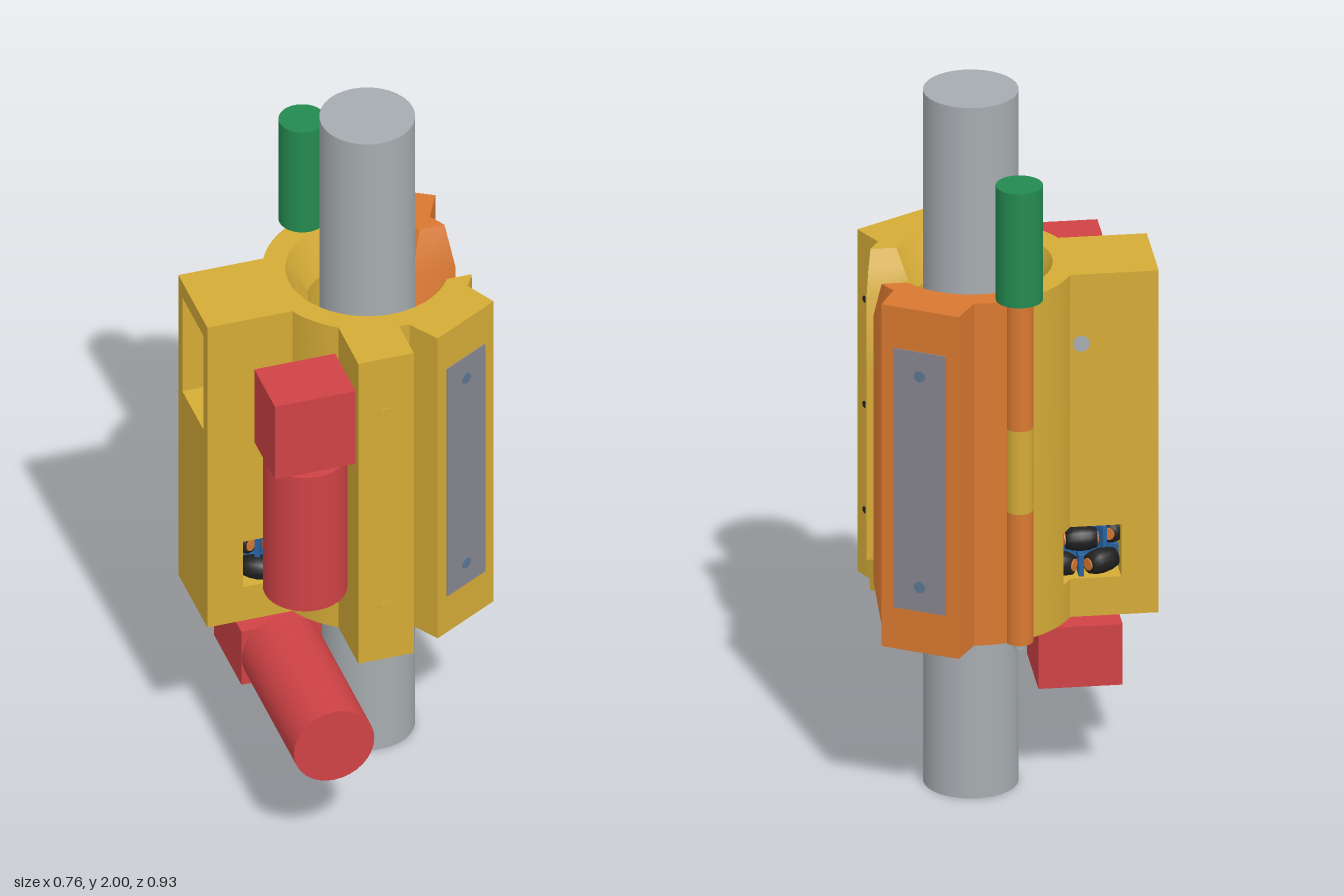
import * as THREE from 'three';
import { mergeGeometries, toCreasedNormals } from 'three/addons/utils/BufferGeometryUtils.js';

const mat = (name, color) => new THREE.MeshStandardMaterial({ name, color });
const CX = 0.106, CZ = -0.105;            // pole axis
const R = 0.278;                          // clamp outer radius
const Y0 = 0.51, Y1 = 1.5;                // clamp bottom and top
const RAD = Math.PI / 180;
const V = (x, z) => new THREE.Vector2(x, z);
const P = (r, deg) => V(CX + r * Math.cos(deg * RAD), CZ + r * Math.sin(deg * RAD));
const arc = (r, a, b, n) => Array.from({ length: n + 1 }, (_, i) => P(r, a + (b - a) * i / n));
const asin = (v) => Math.asin(v) / RAD;

// Solid between horizontal outlines, one outline per height
function loft(outline, ys) {
  const rings = ys.map(outline);
  if (THREE.ShapeUtils.area(rings[0]) < 0) rings.forEach((r) => r.reverse());
  const pos = [];
  const put = (k, i) => pos.push(rings[k][i].x, ys[k], rings[k][i].y);
  const n = rings[0].length, last = ys.length - 1;
  for (let k = 0; k < last; k++) {
    for (let i = 0; i < n; i++) {
      const j = (i + 1) % n;
      put(k, i); put(k + 1, i); put(k, j);
      put(k + 1, i); put(k + 1, j); put(k, j);
    }
  }
  for (const k of [0, last]) {
    for (const [a, b, c] of THREE.ShapeUtils.triangulateShape(rings[k], [])) {
      const ccw = THREE.ShapeUtils.area([rings[k][a], rings[k][b], rings[k][c]]) > 0;
      const keep = ccw === (k === 0);
      put(k, a); put(k, keep ? b : c); put(k, keep ? c : b);
    }
  }
  const g = new THREE.BufferGeometry();
  g.setAttribute('position', new THREE.Float32BufferAttribute(pos, 3));
  return toCreasedNormals(g, 0.4);
}

// Bore radius and gap offset widen towards both ends
function mouth(y) {
  const e = THREE.MathUtils.clamp((Math.abs(y - 1.005) - 0.385) / 0.11, 0, 1);
  const r = 0.163 + 0.054 * e, g = 0.07 + 0.045 * e;
  return { r, inner: asin(g / r), outer: asin(g / R) };
}

// Outer edge from the gap round the slanted mounting block; s = 1 front, -1 back
function jaw(y, s) {
  const corner = (t) => {
    const p = P(0.35, 60 * s);
    return V(p.x - t * Math.sin(60 * RAD), p.y + s * t * Math.cos(60 * RAD));
  };
  return [...arc(R, s * mouth(y).outer, s * 35.3, 5), corner(-0.111), corner(0.111), P(R, 84.4 * s)];
}

const frontEdge = (y) => [...jaw(y, 1), V(0.105, 0.17), V(0.105, 0.295), V(-0.05, 0.295)];
const bore = (y, a, b) => arc(mouth(y).r, a, b, 28);
const SPLIT = 255, ZB = -0.228, ZF = 0.018, XL = -0.38;

const fullOutline = (y) => [...bore(y, SPLIT, mouth(y).inner), ...frontEdge(y),
  ...arc(R, 124, 153.7, 8), V(XL, ZF), V(XL, ZB), ...arc(R, 206.3, SPLIT, 12)];
const upperFront = (y) => [...bore(y, 180 - asin(0.09 / mouth(y).r), mouth(y).inner), ...frontEdge(y),
  ...arc(R, 124, 153.7, 8), V(XL, ZF), V(XL, CZ + 0.09)];
const upperBack = (y) => [...bore(y, SPLIT, 180 + asin(0.09 / mouth(y).r)),
  V(XL, CZ - 0.09), V(XL, ZB), ...arc(R, 206.3, SPLIT, 12)];
const lowerFront = (y) => [...bore(y, 180 - asin(0.1 / mouth(y).r), mouth(y).inner), ...frontEdge(y),
  ...arc(R, 124, 144.4, 8), V(-0.12, CZ + 0.1)];
const lowerBack = (y) => [...bore(y, SPLIT, 180 + asin(0.1 / mouth(y).r)),
  V(-0.12, CZ - 0.1), ...arc(R, 215.6, SPLIT, 12)];
const lowerWall = () => [V(XL, ZB), V(-0.28, ZB), V(-0.28, ZF), V(XL, ZF)];
const gateOutline = (y) => [...bore(y, -105, -mouth(y).inner), ...jaw(y, -1), ...arc(R, -86, -105, 5)];

export function createModel() {
  const model = new THREE.Group();
  model.name = 'poleClimber';
  const steel = mat('steel', 0xa6acb0), yellow = mat('yellow', 0xd4ab36), orange = mat('orange', 0xd97830);
  const red = mat('red', 0xcf4245), green = mat('green', 0x248a50), plateGrey = mat('plateGrey', 0x868590);
  const blue = mat('blue', 0x2763a2), black = mat('black', 0x202020), screwBlue = mat('screwBlue', 0x5c7590);

  const add = (name, geo, m, x = 0, y = 0, z = 0, parent = model) => {
    const mesh = new THREE.Mesh(geo, m);
    mesh.name = name;
    mesh.position.set(x, y, z);
    parent.add(mesh);
    return mesh;
  };
  const cyl = (r, h, n = 32) => new THREE.CylinderGeometry(r, r, h, n);
  const rod = (name, r, y0, y1, m, x, z) => add(name, cyl(r, y1 - y0), m, x, (y0 + y1) / 2, z);

  rod('pole', 0.127, 0, 2, steel, CX, CZ);

  // Clamp body in layers, with slots for the two drive wheels
  add('clampBody', mergeGeometries([
    loft(fullOutline, [Y0, 0.62]),
    loft(lowerFront, [0.62, 0.77]), loft(lowerBack, [0.62, 0.77]), loft(lowerWall, [0.62, 0.77]),
    loft(fullOutline, [0.77, 1.14]),
    loft(upperFront, [1.14, 1.39, 1.45]), loft(upperBack, [1.14, 1.39, 1.45]),
    loft(fullOutline, [1.45, Y1]),
  ]), yellow);
  add('gate', loft(gateOutline, [Y0, 0.62, 1.39, Y1]), orange);

  // Hinge and its lock
  const hx = 0.01, hz = -0.365;
  rod('hingeLower', 0.037, Y0, 0.89, orange, hx, hz);
  rod('hingeMiddle', 0.037, 0.89, 1.13, yellow, hx, hz);
  rod('hingeUpper', 0.037, 1.13, Y1, orange, hx, hz);
  rod('hingePin', 0.015, 0.49, Y0 + 0.02, steel, hx, hz);
  rod('hingeActuator', 0.063, Y1, 1.83, green, hx, hz);
  rod('sensorPin', 0.008, 0.45, Y0 + 0.02, black, 0.005, 0.07);

  // Both jaws: mounting plate, screws, side holes, guide pads and pins
  for (const s of [1, -1]) {
    const block = new THREE.Group();
    block.name = s > 0 ? 'frontJawFittings' : 'backJawFittings';
    block.position.set(CX, 0, CZ);
    block.rotation.y = -s * 60 * RAD;     // local +x points out of the block
    model.add(block);
    add('mountingPlate', new THREE.BoxGeometry(0.008, 0.75, 0.15), plateGrey, 0.349, 1.005, 0, block);
    for (const y of [0.7, 1.31]) {
      add('plateScrew', cyl(0.016, 0.006, 16), screwBlue, 0.352, y, 0, block).rotation.z = Math.PI / 2;
    }
    for (const y of [0.7, 1.005, 1.31]) {
      add('sideHole', cyl(0.01, 0.004, 12), black, 0.315, y, -s * 0.111, block).rotation.x = Math.PI / 2;
    }
    for (const y of [0.69, 1.31]) {
      const pad = add('guidePad', new THREE.TorusGeometry(0.15, 0.02, 10, 20, 64 * RAD), orange, 0, y, 0, block);
      pad.rotation.set(Math.PI / 2, 0, -32 * RAD);
    }
    add('guidePin', cyl(0.011, 0.82, 12), steel, 0.166, 1.005, 0, block);
  }
  for (const y of [0.68, 1.32]) {
    add('frontBolt', cyl(0.018, 0.006, 20), yellow, 0.025, y, 0.295).rotation.x = Math.PI / 2;
  }

  // Roller wheel about y: hub, plates and two staggered rows of barrels
  const WX = -0.173;
  const barrel = new THREE.LatheGeometry([[0, -1], [0.026, -1], [0.032, -0.5], [0.034, 0], [0.032, 0.5], [0.026, 1], [0, 1]]
    .map(([r, t]) => V(r, t * 0.042)), 16);
  const makeWheel = (name, y) => {
    const wheel = new THREE.Group();
    wheel.name = name;
    wheel.position.set(WX, y, CZ);
    model.add(wheel);
    add('hub', cyl(0.07, 0.14, 24), blue, 0, 0, 0, wheel);
    [-1, 1].forEach((row) => {
      add('hubPlate', cyl(0.108, 0.018, 24), blue, 0, row * 0.037, 0, wheel);
      for (let i = 0; i < 6; i++) {
        const spoke = new THREE.Group();
        spoke.name = 'rollerUnit';
        spoke.rotation.y = (i + (row > 0 ? 0.5 : 0)) * Math.PI / 3;
        wheel.add(spoke);
        add('roller', barrel, black, 0.113, row * 0.037, 0, spoke).rotation.x = Math.PI / 2;
        add('rollerAxle', cyl(0.017, 0.092, 14), orange, 0.113, row * 0.037, 0, spoke).rotation.x = Math.PI / 2;
        const bracket = add('bracket', new THREE.BoxGeometry(0.06, 0.06, 0.014), blue, 0, row * 0.037, 0, spoke);
        bracket.position.set(0.1 * Math.cos(Math.PI / 6), row * 0.037, 0.1 * Math.sin(Math.PI / 6));
        bracket.rotation.y = -Math.PI / 6;
      }
    });
    return wheel;
  };
  makeWheel('lowerWheel', 0.695);
  makeWheel('upperWheel', 1.3).rotation.x = Math.PI / 2;

  // Drive motors with gearboxes and shafts
  add('upperGearbox', new THREE.BoxGeometry(0.225, 0.24, 0.175), red, WX, 1.3, 0.2175);
  rod('upperMotor', 0.112, 0.74, 1.18, red, WX, 0.218);
  add('upperShaft', cyl(0.023, 0.36, 20), steel, WX, 1.3, -0.05).rotation.x = Math.PI / 2;
  add('lowerGearbox', new THREE.BoxGeometry(0.225, 0.175, 0.235), red, WX, 0.3875, -0.0975);
  add('lowerMotor', cyl(0.112, 0.445), red, WX, 0.3875, 0.2425).rotation.x = Math.PI / 2;
  rod('lowerShaft', 0.023, 0.47, 0.77, steel, WX, CZ);
  return model;
}
